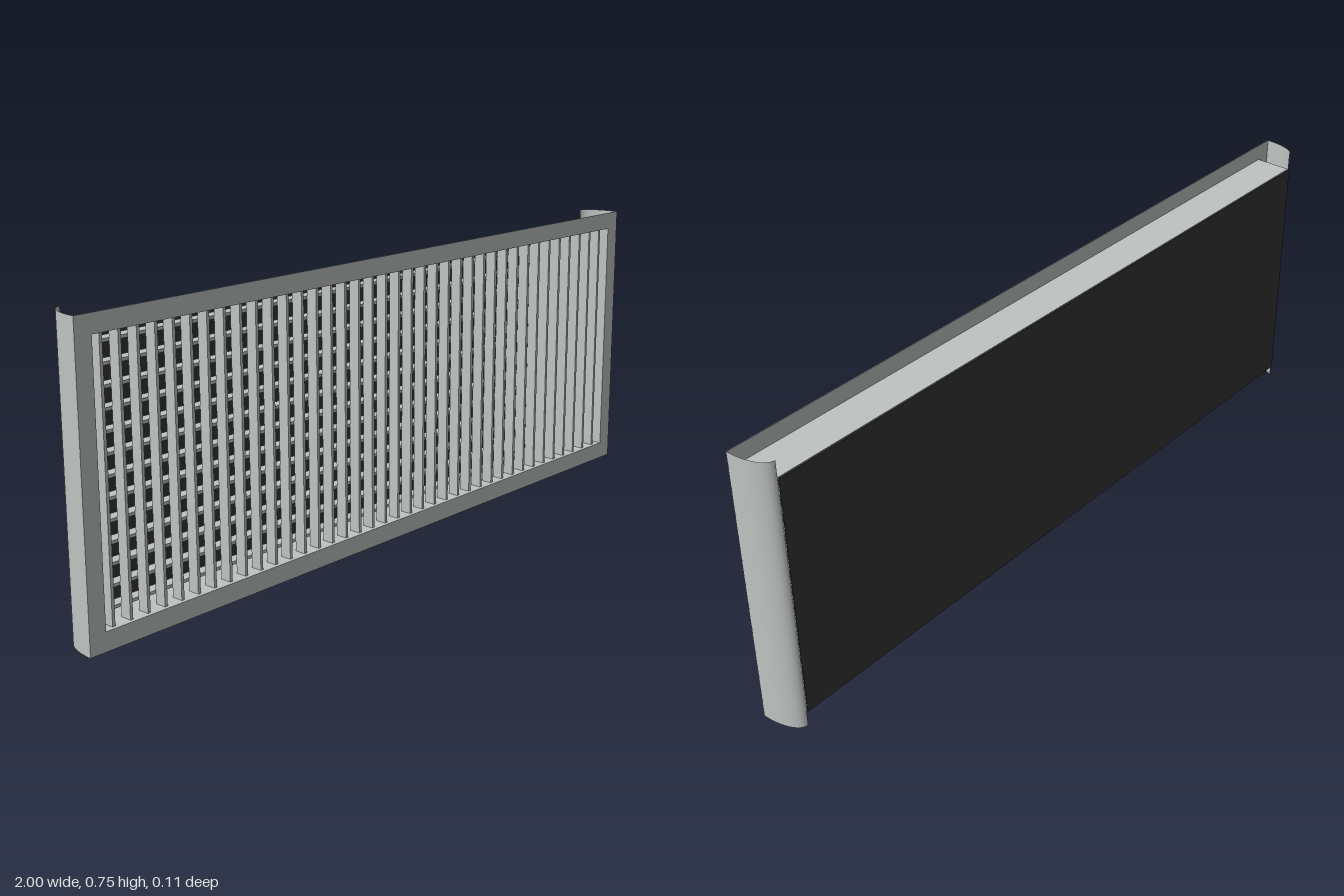
import * as THREE from 'three';

const HEIGHT = 0.75, FRONT = 0.054, BACK = -0.047;
const OPEN_X = 0.956, OPEN_Y0 = 0.046, OPEN_Y1 = 0.705;
const MID_Y = (OPEN_Y0 + OPEN_Y1) / 2, OPEN_H = OPEN_Y1 - OPEN_Y0;

export function createModel() {
  const model = new THREE.Group();
  model.name = 'ventGrille';
  const metal = new THREE.MeshStandardMaterial({ color: 0xbfc4c2, side: THREE.DoubleSide });
  metal.name = 'pale grey metal';
  const dark = new THREE.MeshStandardMaterial({ color: 0x353535 });
  dark.name = 'dark backing';

  const add = (name, geometry, material, x = 0, y = 0, z = 0, parent = model) => {
    const mesh = new THREE.Mesh(geometry, material);
    mesh.name = name;
    mesh.position.set(x, y, z);
    parent.add(mesh);
    return mesh;
  };

  // Flat front border with a rectangular opening
  const rect = (path, x, y0, y1) =>
    path.moveTo(-x, y0).lineTo(x, y0).lineTo(x, y1).lineTo(-x, y1).closePath();
  const border = rect(new THREE.Shape(), 1, 0, HEIGHT);
  border.holes.push(rect(new THREE.Path(), OPEN_X, OPEN_Y0, OPEN_Y1));
  add('frontFrame', new THREE.ExtrudeGeometry(border, { depth: 0.002, bevelEnabled: false }),
    metal, 0, 0, FRONT - 0.002);

  // Four walls of the duct behind the opening
  const depth = FRONT - BACK, midZ = (FRONT + BACK) / 2;
  for (const [name, y] of [['bottomWall', OPEN_Y0], ['topWall', OPEN_Y1]])
    add(name, new THREE.BoxGeometry(OPEN_X * 2, 0.002, depth), metal, 0, y, midZ);
  for (const [name, side] of [['leftWall', 1], ['rightWall', -1]])
    add(name, new THREE.BoxGeometry(0.002, OPEN_H, depth), metal, side * OPEN_X, MID_Y, midZ);

  // Curved side covers sweeping from the front edge to the back
  const cover = new THREE.CylinderGeometry(1, 1, HEIGHT, 16, 1, true, Math.PI / 2, Math.PI / 2);
  cover.scale(1 - OPEN_X, 1, depth);
  for (const [name, side] of [['leftCover', 1], ['rightCover', -1]])
    add(name, cover, metal, side * OPEN_X, HEIGHT / 2, FRONT).scale.x = side;

  // Backing panel
  add('backPanel', new THREE.BoxGeometry(OPEN_X * 2, OPEN_H, 0.003), dark, 0, MID_Y, -0.0505);

  // Upright blades in front, level blades behind them
  const uprights = new THREE.Group();
  uprights.name = 'uprightBlades';
  const upright = new THREE.BoxGeometry(0.008, OPEN_H, 0.03);
  for (let i = 0; i < 38; i++)
    add('uprightBlade', upright, metal, -0.925 + i * 0.05, MID_Y, 0.029, uprights);

  const levels = new THREE.Group();
  levels.name = 'levelBlades';
  const level = new THREE.BoxGeometry(OPEN_X * 2, 0.008, 0.03);
  for (let i = 0; i < 13; i++)
    add('levelBlade', level, metal, 0, 0.075 + i * 0.05, -0.002, levels);

  model.add(uprights, levels);
  return model;
}
